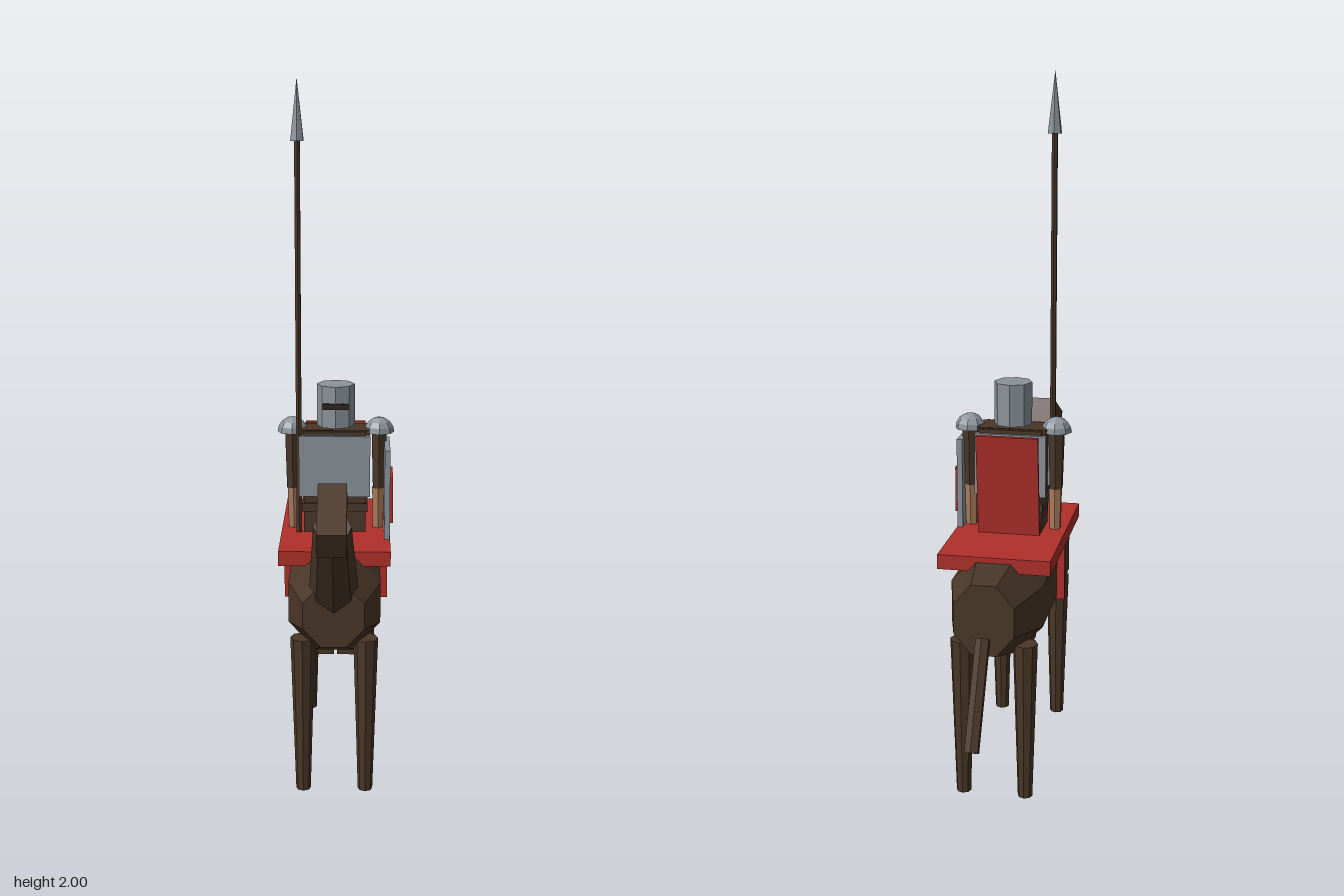
import * as THREE from 'three';

const paint = (name, color) => {
  const m = new THREE.MeshStandardMaterial({ color, flatShading: true });
  m.name = name;
  return m;
};

export function createModel() {
  const brown = paint('dark brown', 0x4a3728);
  const shadow = paint('visor black', 0x2c221b);
  const steel = paint('steel', 0x8a939a);
  const red = paint('red cloth', 0xb0302a);
  const skin = paint('skin', 0xa87a5a);

  const model = new THREE.Group();
  model.name = 'mountedKnight';
  const add = (parent, name, geo, mat, x = 0, y = 0, z = 0) => {
    const mesh = new THREE.Mesh(geo, mat);
    mesh.name = name;
    mesh.position.set(x, y, z);
    parent.add(mesh);
    return mesh;
  };
  const box = (parent, name, mat, w, h, d, x, y, z) =>
    add(parent, name, new THREE.BoxGeometry(w, h, d), mat, x, y, z);
  // Tapered rod from point a (radius ra) to point b (radius rb)
  const rod = (parent, name, mat, a, b, ra, rb, sides = 6) => {
    const from = new THREE.Vector3(...a), to = new THREE.Vector3(...b);
    const dir = to.clone().sub(from);
    const mesh = add(parent, name, new THREE.CylinderGeometry(rb, ra, dir.length(), sides), mat);
    mesh.position.copy(from).add(to).multiplyScalar(0.5);
    mesh.quaternion.setFromUnitVectors(new THREE.Vector3(0, 1, 0), dir.normalize());
    return mesh;
  };

  // Horse
  const horse = new THREE.Group();
  horse.name = 'horse';
  model.add(horse);

  // Barrel body: octagonal rings [z, centre y, half width, half height]
  const rings = [
    [0.34, 0.568, 0.085, 0.09], [0.2, 0.557, 0.13, 0.143],
    [-0.27, 0.557, 0.13, 0.143], [-0.45, 0.577, 0.083, 0.1],
  ];
  const pos = [], index = [], n = 8;
  rings.forEach(([z, cy, w, h]) => {
    for (let i = 0; i < n; i++) {
      const t = ((i + 0.5) / n) * Math.PI * 2, k = Math.cos(Math.PI / 8);
      pos.push((w * Math.cos(t)) / k, cy + (h * Math.sin(t)) / k, z);
    }
  });
  for (let r = 0; r < rings.length - 1; r++) {
    for (let i = 0; i < n; i++) {
      const a = r * n + i, b = r * n + ((i + 1) % n);
      index.push(a, a + n, b, b, a + n, b + n);
    }
  }
  const last = (rings.length - 1) * n;
  for (let i = 1; i < n - 1; i++) {
    index.push(0, i, i + 1, last, last + i + 1, last + i);
  }
  const barrel = new THREE.BufferGeometry();
  barrel.setAttribute('position', new THREE.Float32BufferAttribute(pos, 3));
  barrel.setIndex(index);
  barrel.computeVertexNormals();
  add(horse, 'body', barrel, brown);

  rod(horse, 'neck', brown, [0, 0.606, 0.275], [0, 0.868, 0.478], 0.07, 0.05, 8);
  box(horse, 'head', brown, 0.076, 0.078, 0.194, 0, 0.9, 0.52).rotation.x = 0.45;
  rod(horse, 'tail', brown, [0, 0.53, -0.46], [0, 0.27, -0.606], 0.021, 0.021);
  for (const s of [-1, 1]) {
    rod(horse, 'frontLeg', brown, [s * 0.089, 0, 0.235], [s * 0.089, 0.465, 0.235], 0.021, 0.035, 8);
    rod(horse, 'backLeg', brown, [s * 0.089, 0, -0.318], [s * 0.089, 0.465, -0.318], 0.021, 0.035, 8);
  }

  // Saddle cloth and the strap hanging on both sides
  box(horse, 'saddleCloth', red, 0.316, 0.042, 0.528, 0, 0.688, -0.057);
  box(horse, 'girthStrap', red, 0.306, 0.19, 0.015, 0, 0.585, -0.03);

  // Rider
  const rider = new THREE.Group();
  rider.name = 'rider';
  model.add(rider);
  const rz = -0.034;

  box(rider, 'tunic', brown, 0.18, 0.3, 0.115, -0.002, 0.86, rz);
  box(rider, 'belt', brown, 0.19, 0.025, 0.13, -0.002, 0.785, rz);
  box(rider, 'collar', brown, 0.2, 0.014, 0.09, -0.003, 1.005, rz);
  box(rider, 'breastPlate', steel, 0.206, 0.18, 0.016, -0.003, 0.909, 0.027);
  box(rider, 'backPlate', steel, 0.206, 0.18, 0.016, -0.003, 0.909, -0.093);
  rod(rider, 'neck', brown, [0, 0.99, rz], [0, 1.04, rz], 0.025, 0.025);

  // Helmet with eye slit
  rod(rider, 'helmet', steel, [0, 1.018, rz], [0, 1.14, rz], 0.055, 0.055, 8);
  box(rider, 'visorSlit', shadow, 0.074, 0.016, 0.009, 0, 1.083, 0.018);

  // Shoulders, arms, legs and boots
  const dome = new THREE.SphereGeometry(0.044, 8, 4, 0, Math.PI * 2, 0, Math.PI / 2);
  for (const s of [-1, 1]) {
    add(rider, 'shoulderGuard', dome, steel, s * 0.126, 0.998, rz);
    const base = add(rider, 'shoulderGuardBase', new THREE.CircleGeometry(0.044, 8), steel, s * 0.126, 0.998, rz);
    base.rotation.x = Math.PI / 2;
    rod(rider, 'upperArm', brown, [s * 0.126, 0.83, rz], [s * 0.126, 0.998, rz], 0.02, 0.025);
    rod(rider, 'forearm', skin, [s * 0.124, 0.7, rz], [s * 0.124, 0.83, rz], 0.017, 0.02);
    rod(rider, 'leg', brown, [s * 0.03, 0.36, rz], [s * 0.03, 0.72, rz], 0.024, 0.036);
    box(rider, 'boot', brown, 0.05, 0.037, 0.112, s * 0.03, 0.352, -0.013);
  }

  // Cape leaning backward
  box(rider, 'cape', red, 0.178, 0.31, 0.01, -0.002, 0.85, -0.124).rotation.x = -0.115;

  // Shield on the left arm
  box(rider, 'shield', steel, 0.016, 0.305, 0.174, 0.149, 0.82, 0.008);
  box(rider, 'shieldPanel', red, 0.009, 0.133, 0.132, 0.1615, 0.818, 0.004);

  // Spear in the right hand
  rod(rider, 'spearShaft', brown, [-0.106, 0.6, 0.021], [-0.106, 1.84, 0.021], 0.009, 0.009);
  add(rider, 'spearHead', new THREE.ConeGeometry(0.021, 0.17, 6), steel, -0.106, 1.915, 0.021);

  return model;
}
